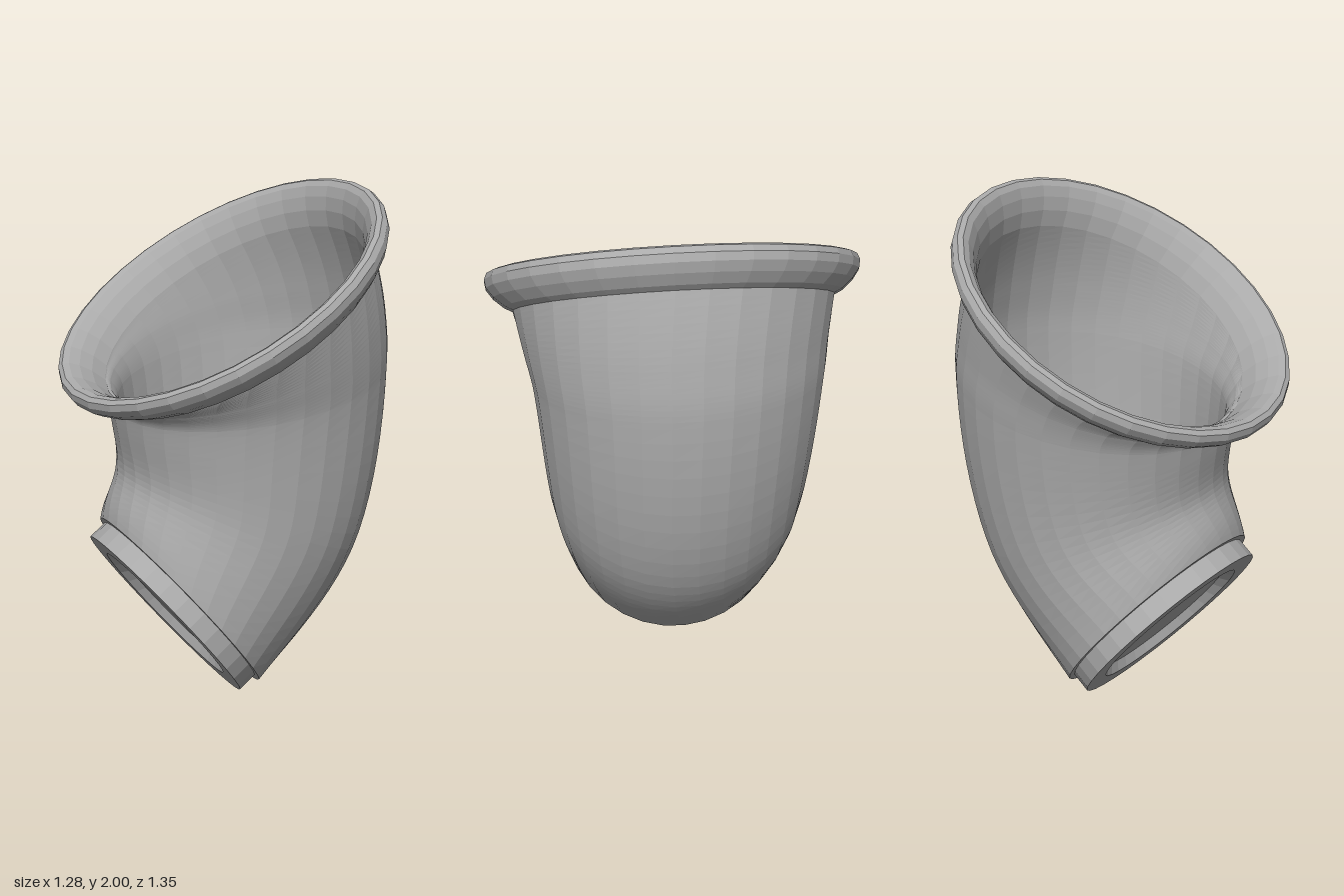
import * as THREE from 'three';

const SEGMENTS = 32;
const WALL = 0.04;
const V = (x, y, z) => new THREE.Vector3(x, y, z);
const ring = (c, n, r) => ({ c, n: n.clone().normalize(), r });

// Rings given as [radius, height] pairs around one tilted axis
const localRings = (centre, axis, profile) => {
  const n = axis.clone().normalize();
  return profile.map(([r, h]) => ring(centre.clone().addScaledVector(n, h), n, r));
};

// Skin a series of tilted circles
function loft(rings) {
  const positions = [], index = [], row = SEGMENTS + 1;
  rings.forEach(({ c, n, r }, i) => {
    const u = V(0, 0, 1).addScaledVector(n, -n.z).normalize();
    const v = n.clone().cross(u);
    for (let j = 0; j <= SEGMENTS; j++) {
      const t = (j / SEGMENTS) * Math.PI * 2;
      const p = c.clone().addScaledVector(u, r * Math.cos(t)).addScaledVector(v, r * Math.sin(t));
      positions.push(p.x, p.y, p.z);
      if (i && j) {
        const a = (i - 1) * row + j - 1, d = a + row;
        if (rings[i - 1].r > 0) index.push(a, a + 1, d + 1);
        if (r > 0) index.push(a, d + 1, d);
        else index.push(a, a + 1, d);
        if (rings[i - 1].r === 0) index.splice(-3, 3, a, d + 1, d);
      }
    }
  });
  const g = new THREE.BufferGeometry();
  g.setAttribute('position', new THREE.Float32BufferAttribute(positions, 3));
  g.setIndex(index);
  g.computeVertexNormals();
  return g;
}

export function createModel() {
  const group = new THREE.Group();
  const grey = new THREE.MeshStandardMaterial({ color: 0xaaaaaa, flatShading: true, side: THREE.DoubleSide });
  grey.name = 'grey';
  const add = (name, rings) => {
    const mesh = new THREE.Mesh(loft(rings), grey);
    mesh.name = name;
    group.add(mesh);
  };

  const footCentre = V(-0.235, 0.335, 0.1), footAxis = V(0.70, 0.615, -0.37);
  const lipCentre = V(-0.02, 1.615, 0), lipAxis = V(-0.45, 0.85, 0.27);

  // Key cross-sections from the foot up to the neck
  const keys = [
    localRings(footCentre, footAxis, [[0.45, 0.08]])[0],
    ring(V(0.04, 0.75, -0.045), V(0.33, 0.92, -0.2), 0.5),
    ring(V(0.085, 1.26, -0.075), V(-0.13, 1, 0.1), 0.55),
    ring(V(0.065, 1.39, -0.055), V(-0.27, 1, 0.18), 0.572),
    localRings(lipCentre, lipAxis, [[0.6, -0.11]])[0],
  ];
  const centres = new THREE.CatmullRomCurve3(keys.map(k => k.c));
  const axes = new THREE.CatmullRomCurve3(keys.map(k => k.n));
  const radii = new THREE.CatmullRomCurve3(keys.map(k => V(k.r, 0, 0)));
  const section = (k, inset) => Array.from({ length: 11 }, (_, i) => {
    const t = (k + i / 10) / (keys.length - 1);
    return ring(centres.getPoint(t), axes.getPoint(t), radii.getPoint(t).x - inset);
  });

  // Curved body, outer wall and inner wall
  ['lowerBend', 'upperBend', 'collarBand', 'neck'].forEach((name, k) => {
    add(name + 'Outside', section(k, 0));
    add(name + 'Inside', section(k, WALL).reverse());
  });

  // Rolled flaring lip
  add('lip', localRings(lipCentre, lipAxis, [
    [0.6, -0.11], [0.63, -0.095], [0.67, -0.06], [0.695, -0.025], [0.7, 0.005], [0.69, 0.028],
    [0.67, 0.035], [0.645, 0.025], [0.615, -0.005], [0.585, -0.05], [0.56, -0.11],
  ]));

  // Foot flange with recessed plug outside and floor inside
  add('footFlange', localRings(footCentre, footAxis, [
    [0.3, 0.035], [0.33, 0], [0.425, 0], [0.425, 0.08], [0.45, 0.08],
  ]));
  add('footPlug', localRings(footCentre, footAxis, [[0, 0.035], [0.3, 0.035]]));
  add('innerLedge', localRings(footCentre, footAxis, [
    [0.41, 0.08], [0.39, 0.095], [0.37, 0.08], [0.36, 0.06], [0.29, 0.045],
  ]));
  add('floor', localRings(footCentre, footAxis, [[0.29, 0.045], [0, 0.045]]));

  return group;
}
